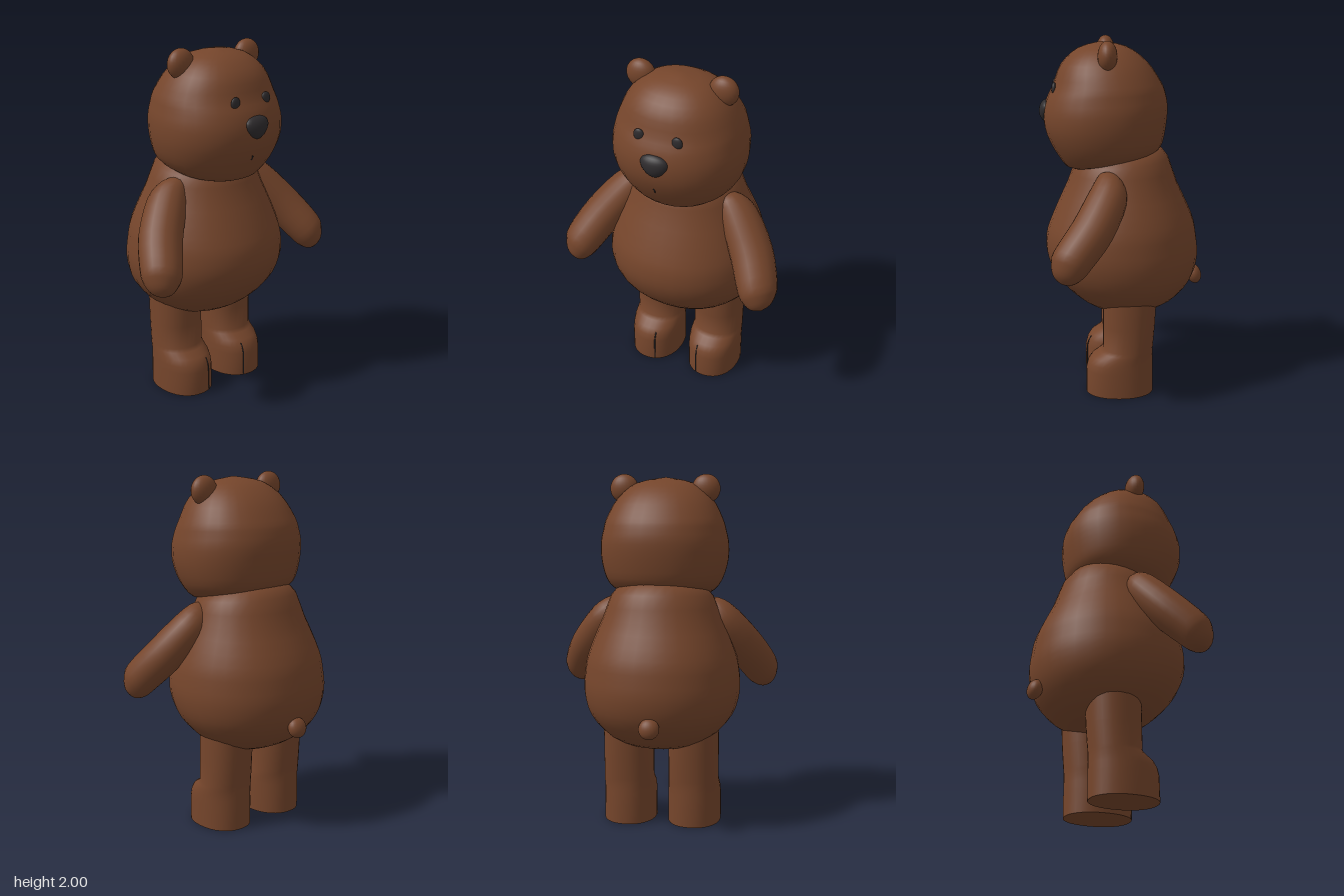
import * as THREE from 'three';
import { toCreasedNormals } from 'three/addons/utils/BufferGeometryUtils.js';

const SEG = 32;
const fur = new THREE.MeshStandardMaterial({ color: 0x75452b });
fur.name = 'brown fur';
const dark = new THREE.MeshStandardMaterial({ color: 0x2e2b2d });
dark.name = 'charcoal';

// Skin a list of closed rings, given from one end to the other
function loft(rings) {
  const pos = [], idx = [], n = rings[0].length;
  rings.forEach((r) => r.forEach((p) => pos.push(p.x, p.y, p.z)));
  for (let i = 0; i < rings.length - 1; i++) {
    for (let j = 0; j < n; j++) {
      const a = i * n + j, b = i * n + (j + 1) % n, c = b + n, d = a + n;
      if (i < rings.length - 2) idx.push(a, c, d);
      if (i > 0) idx.push(a, b, c);
    }
  }
  const g = new THREE.BufferGeometry();
  g.setAttribute('position', new THREE.Float32BufferAttribute(pos, 3));
  g.setIndex(idx);
  return toCreasedNormals(g, 0.9);
}

// Smoothly subdivide rows of numbers
function smoothRows(rows, sub) {
  const out = [], at = (i) => rows[Math.max(0, Math.min(rows.length - 1, i))];
  for (let i = 0; i < rows.length - 1; i++) {
    for (let s = 0; s < sub; s++) {
      const t = s / sub;
      out.push(rows[i].map((p1, k) => {
        const p0 = at(i - 1)[k], p2 = at(i + 1)[k], p3 = at(i + 2)[k];
        return p1 + 0.5 * t * (p2 - p0 + t * (2 * p0 - 5 * p1 + 4 * p2 - p3 + t * (3 * (p1 - p2) + p3 - p0)));
      }));
    }
  }
  out.push(rows[rows.length - 1]);
  return out;
}

// Rounded ring from [front z, front y, back z, back y, half width]
function ring([zf, yf, zb, yb, w], power) {
  const soft = (v) => Math.sign(v) * Math.abs(v) ** power;
  return Array.from({ length: SEG }, (_, j) => {
    const a = (j / SEG) * Math.PI * 2, s = soft(Math.sin(a)), c = soft(Math.cos(a));
    return new THREE.Vector3(w * s, (yf + yb + (yf - yb) * c) / 2, (zf + zb + (zf - zb) * c) / 2);
  });
}

const stack = (rows, sub, power) => loft(smoothRows(rows, sub).map((r) => ring(r, power)));

// Tapered arm from [x, y, z, radius] stations along its axis
function armGeometry(side) {
  const rows = smoothRows([
    [0.25, 1.29, 0.06, 0], [0.27, 1.26, 0.065, 0.065], [0.335, 1.18, 0.085, 0.1],
    [0.455, 1.02, 0.175, 0.11], [0.54, 0.88, 0.285, 0.104],
    [0.565, 0.825, 0.315, 0.085], [0.58, 0.785, 0.335, 0.05], [0.586, 0.768, 0.34, 0],
  ], 3);
  const axis = new THREE.Vector3(0.48, -0.74, 0.46).normalize();
  const v = new THREE.Vector3(-0.69, 0, 0.72).normalize();
  const u = new THREE.Vector3().crossVectors(axis, v);
  return loft(rows.map(([x, y, z, r]) => {
    const pts = Array.from({ length: 20 }, (_, j) => {
      const a = (j / 20) * Math.PI * 2, rad = Math.max(r, 0);
      const p = new THREE.Vector3(x, y, z);
      p.addScaledVector(v, Math.cos(a) * rad * 1.1).addScaledVector(u, Math.sin(a) * rad);
      p.x *= side;
      return p;
    });
    return side < 0 ? pts.reverse() : pts;
  }));
}

export function createModel() {
  const model = new THREE.Group();
  model.name = 'bear';

  const add = (name, geometry, material, x = 0, y = 0, z = 0) => {
    const mesh = new THREE.Mesh(geometry, material);
    mesh.name = name;
    mesh.position.set(x, y, z);
    mesh.updateMatrixWorld();
    model.add(mesh);
    return mesh;
  };
  const ball = (name, mat, x, y, z, rx, ry, rz) =>
    add(name, new THREE.SphereGeometry(1, 24, 16).scale(rx, ry, rz), mat, x, y, z);
  // Depth of a mesh's front surface at x, y
  const frontZ = (mesh, x, y) => {
    const ray = new THREE.Raycaster(new THREE.Vector3(x, y, 3), new THREE.Vector3(0, 0, -1));
    const hit = ray.intersectObject(mesh)[0];
    return hit ? hit.point.z : 0;
  };
  // Thin line drawn over a mesh's front surface
  const seam = (name, mesh, points, radius) => {
    const path = points.map(([x, y]) => new THREE.Vector3(x, y, frontZ(mesh, x, y)));
    add(name, new THREE.TubeGeometry(new THREE.CatmullRomCurve3(path), 12, radius, 5), dark);
  };

  // Pear-shaped torso
  add('body', stack([
    [0.02, 0.44, 0.02, 0.44, 0], [0.11, 0.452, -0.15, 0.452, 0.16],
    [0.245, 0.52, -0.3, 0.52, 0.3], [0.366, 0.64, -0.4, 0.64, 0.41],
    [0.43, 0.77, -0.434, 0.77, 0.449], [0.435, 0.89, -0.425, 0.89, 0.444],
    [0.4, 1.0, -0.4, 1.0, 0.42], [0.31, 1.2, -0.313, 1.19, 0.34],
    [0.24, 1.34, -0.217, 1.395, 0.25], [0.03, 1.42, 0.03, 1.42, 0],
  ], 3, 0.97), fur);

  // Head with a low, full muzzle
  const head = add('head', stack([
    [0.04, 1.31, 0.04, 1.31, 0], [0.28, 1.28, -0.15, 1.36, 0.22],
    [0.36, 1.35, -0.217, 1.4, 0.315], [0.425, 1.475, -0.244, 1.5, 0.36],
    [0.44, 1.58, -0.255, 1.62, 0.368], [0.422, 1.67, -0.242, 1.7, 0.352],
    [0.386, 1.745, -0.217, 1.76, 0.332], [0.34, 1.86, -0.14, 1.87, 0.27],
    [0.245, 1.945, -0.025, 1.953, 0.165], [0.12, 1.982, 0.12, 1.982, 0],
  ], 3, 0.93), fur);

  // Nose, wider at the top
  const nose = new THREE.SphereGeometry(1, 24, 16);
  const np = nose.attributes.position;
  for (let i = 0; i < np.count; i++) np.setX(i, np.getX(i) * (1 + 0.3 * np.getY(i)));
  nose.scale(0.077, 0.064, 0.045);
  nose.computeVertexNormals();
  add('nose', nose, dark, 0, 1.6, 0.42);
  seam('mouth', head, [[-0.016, 1.45], [-0.009, 1.435], [-0.011, 1.42]], 0.004);

  // Tail
  ball('tail', fur, 0, 0.635, -0.42, 0.058, 0.058, 0.042).rotation.x = 0.3;

  for (const side of [1, -1]) {
    const label = side > 0 ? 'left' : 'right';
    ball(label + 'Ear', fur, side * 0.236, 1.918, 0.087, 0.082, 0.082, 0.053);
    ball(label + 'Eye', dark, side * 0.108, 1.735, frontZ(head, side * 0.108, 1.735), 0.03, 0.034, 0.014);
    add(label + 'Arm', armGeometry(side), fur);

    // Leg and foot in one piece, flat underneath
    const leg = add(label + 'Leg', stack([
      [0.02, 0, 0.02, 0, 0], [0.215, 0, -0.17, 0, 0.153], [0.213, 0.14, -0.17, 0.14, 0.153],
      [0.203, 0.18, -0.169, 0.18, 0.152], [0.18, 0.215, -0.168, 0.215, 0.15],
      [0.135, 0.245, -0.168, 0.245, 0.147], [0.117, 0.265, -0.169, 0.265, 0.145],
      [0.116, 0.4, -0.18, 0.4, 0.145], [0.116, 0.6, -0.19, 0.6, 0.145], [0, 0.61, 0, 0.61, 0],
    ], 1, 0.92), fur, side * 0.19);
    const x = side * 0.139;
    seam(label + 'FootSeam', leg, [0.006, 0.07, 0.14, 0.17, 0.2].map((y) => [x, y]), 0.004);
  }
  return model;
}
